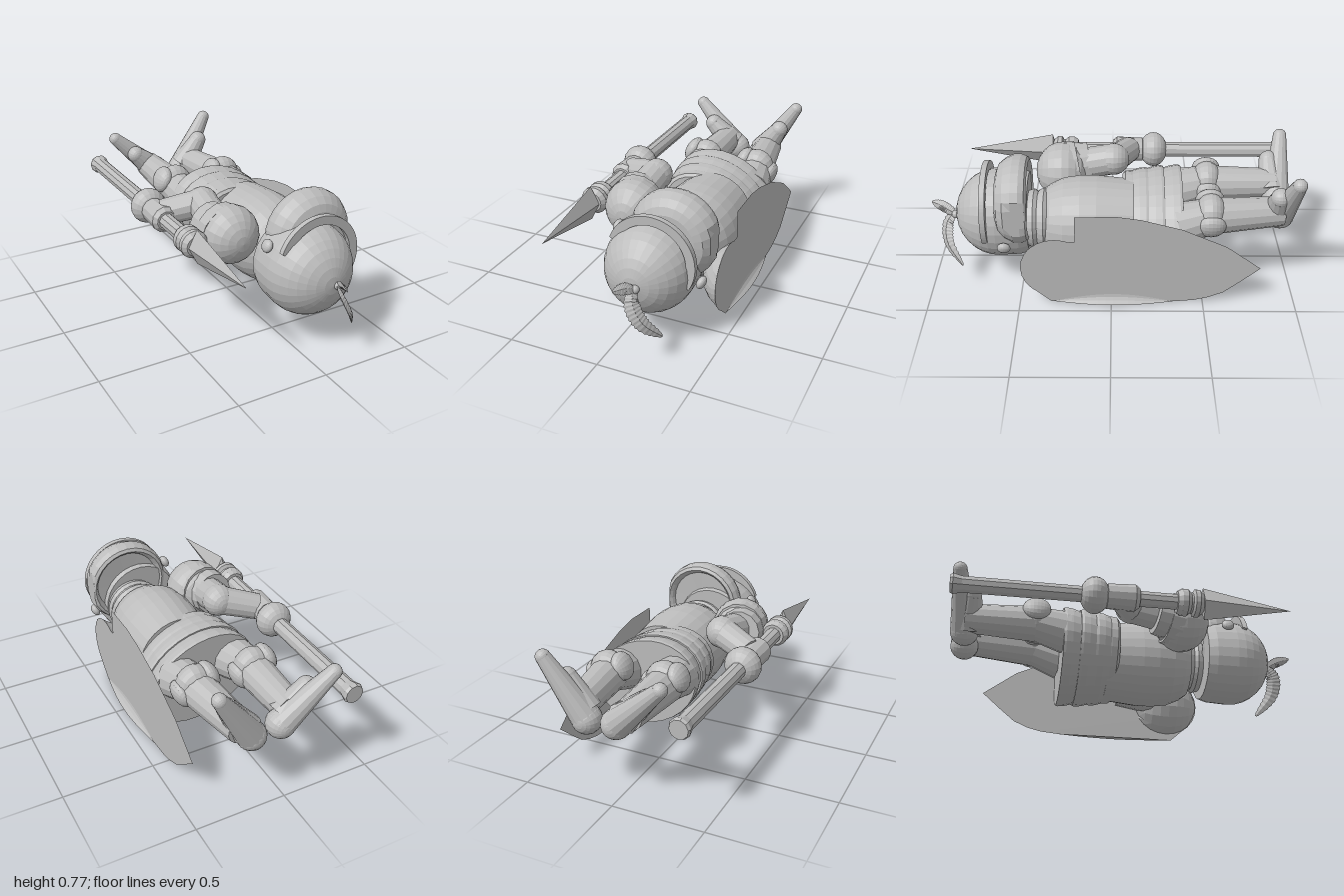
import * as THREE from 'three';

const V = (x, y, z) => new THREE.Vector3(x, y, z);
const TILT = -0.44;   // the figure lies on its back, rolled towards its left
const CUT = 0.415;    // flat plane that everything on the left side ends at

export function createModel() {
  const model = new THREE.Group();
  const grey = new THREE.MeshStandardMaterial({ color: 0xbcbcbc });
  grey.name = 'plain grey';
  grey.flatShading = true;
  grey.side = THREE.DoubleSide;

  // Add a mesh, flattening whatever passes the cut plane
  function add(name, geo, clip = true) {
    if (clip) {
      const p = geo.attributes.position;
      for (let i = 0; i < p.count; i++) if (p.getX(i) > CUT) p.setX(i, CUT);
    }
    geo.computeVertexNormals();
    const mesh = new THREE.Mesh(geo, grey);
    mesh.name = name;
    model.add(mesh);
  }
  // Turned part along z: profile of [radius, z], rolled, with an oval section
  function turned(name, cx, cy, profile, sx = 1, sy = 1, seg = 28) {
    const geo = new THREE.LatheGeometry(profile.map(([r, z]) => new THREE.Vector2(r, z)), seg);
    geo.rotateX(Math.PI / 2).scale(sx, sy, 1).rotateZ(TILT).translate(cx, cy, 0);
    add(name, geo);
  }
  function ball(name, p, r, s = [1, 1, 1]) {
    const geo = new THREE.SphereGeometry(r, 18, 12);
    geo.rotateX(Math.PI / 2).scale(...s).rotateZ(TILT).translate(p.x, p.y, p.z);
    add(name, geo);
  }
  function limb(name, a, b, ra, rb, seg = 14) {
    const d = b.clone().sub(a);
    const geo = new THREE.CylinderGeometry(rb, ra, d.length(), seg);
    geo.applyQuaternion(new THREE.Quaternion().setFromUnitVectors(V(0, 1, 0), d.normalize()));
    const m = a.clone().add(b).multiplyScalar(0.5);
    geo.translate(m.x, m.y, m.z);
    add(name, geo);
  }

  // Torso, neck collar and layered skirt
  turned('torso', 0.16, 0.37, [[0, -0.12], [0.225, -0.12], [0.235, -0.02], [0.245, 0.08],
    [0.245, 0.17], [0.232, 0.26], [0.2, 0.33], [0.17, 0.37], [0, 0.37]]);
  turned('collar', 0.185, 0.395, [[0, 0.34], [0.15, 0.34], [0.168, 0.365], [0.155, 0.395],
    [0.148, 0.4], [0.162, 0.42], [0.15, 0.46], [0, 0.46]]);
  [[-0.38, -0.265, 1], [-0.285, -0.175, 0.985], [-0.2, -0.1, 0.945], [-0.125, -0.06, 0.89]]
    .forEach(([z0, z1, s], i) => turned('skirtBand' + (i + 1), 0.14, 0.37,
      [[0, z0], [0.985 * s, z0], [s, z0 + 0.015], [0.985 * s, z0 + 0.05], [0.92 * s, z1], [0, z1]], 0.317, 0.238));

  // Helmet: short barrel with a rounded dome
  const dome = [[0, 0.45], [0.215, 0.45], [0.23, 0.5], [0.237, 0.62]];
  for (let i = 1; i <= 8; i++) {
    const a = (i / 8) * Math.PI / 2;
    dome.push([0.237 * Math.cos(a) + 1e-5, 0.62 + 0.237 * Math.sin(a)]);
  }
  turned('helmet', 0.122, 0.397, dome, 1.015, 1.05);

  // Raised visor with a rounded rim, shallow towards the body
  turned('visor', 0.2, 0.533, [[0, 0.615], [0.15, 0.615], [0.19, 0.6], [0.22, 0.565], [0.24, 0.52],
    [0.24, 0.48], [0.228, 0.45], [0.21, 0.44], [0.195, 0.455], [0.185, 0.475], [0, 0.48]]);

  // Brow plate: half ring around the front of the helmet
  const arc = new THREE.Shape();
  arc.absarc(0, 0, 0.238, -0.1, Math.PI + 0.1, false);
  arc.absarc(0, 0, 0.19, Math.PI + 0.1, -0.1, true);
  const brow = new THREE.ExtrudeGeometry(arc, { depth: 0.03, bevelEnabled: false, curveSegments: 20 });
  brow.rotateZ(TILT).translate(0.15, 0.465, 0.662);
  add('browPlate', brow);

  // Visor hinges
  ball('visorHingeRight', V(-0.088, 0.548, 0.57), 0.036, [0.65, 1, 1]);
  ball('visorHingeLeft', V(0.375, 0.328, 0.575), 0.036, [0.65, 1, 1]);

  // Plume feathers: thin rhombic sections with toothed edges
  function feather(name, pts, side, width) {
    const curve = new THREE.CatmullRomCurve3(pts), n = 32, pos = [], idx = [];
    for (let i = 0; i <= n; i++) {
      const t = i / n, p = curve.getPoint(t), tan = curve.getTangent(t);
      const across = side.clone().addScaledVector(tan, -side.dot(tan)).normalize();
      const up = tan.clone().cross(across);
      const w = width * Math.pow(Math.sin(Math.PI * (0.06 + 0.93 * t)), 0.6) * (i % 2 ? 1 : 0.85);
      [[across, w], [up, w * 0.3], [across, -w], [up, -w * 0.3]]
        .forEach(([d, k]) => pos.push(...p.clone().addScaledVector(d, k).toArray()));
      if (i < n) for (let j = 0; j < 4; j++) {
        const a = i * 4 + j, b = i * 4 + (j + 1) % 4;
        idx.push(a, b, a + 4, b, b + 4, a + 4);
      }
    }
    const geo = new THREE.BufferGeometry();
    geo.setAttribute('position', new THREE.Float32BufferAttribute(pos, 3));
    geo.setIndex(idx);
    add(name, geo);
  }
  feather('plumeLong', [V(0.14, 0.4, 0.865), V(0.152, 0.34, 0.905), V(0.2, 0.245, 0.905), V(0.275, 0.135, 0.825)],
    V(-0.39, -0.38, 0.77), 0.045);
  feather('plumeShort', [V(0.15, 0.395, 0.86), V(0.128, 0.43, 0.925), V(0.1, 0.445, 0.995)], V(-0.4, 0.9, -0.5), 0.032);
  ball('plumeSocket', V(0.15, 0.395, 0.86), 0.022);

  // Right arm: shoulder guard, bands, elbow and forearm reaching the lance grip
  const shoulder = V(-0.142, 0.505, 0.28), elbow = V(-0.148, 0.575, -0.01), hand = V(-0.35, 0.525, -0.1);
  ball('shoulderRight', shoulder, 0.163, [1, 1, 0.93]);
  limb('shoulderBandRight1', V(-0.155, 0.51, 0.26), V(-0.165, 0.52, 0.19), 0.155, 0.145);
  limb('shoulderBandRight2', V(-0.18, 0.52, 0.2), V(-0.19, 0.53, 0.125), 0.128, 0.118);
  limb('upperArmRight', V(-0.17, 0.515, 0.25), V(-0.152, 0.573, 0), 0.092, 0.088);
  ball('elbowRight', elbow, 0.09);
  limb('forearmRight', elbow, hand, 0.082, 0.074);

  // Left shoulder guard and arm, ending at the flat plane
  ball('shoulderLeft', V(0.475, 0.222, 0.3), 0.19);
  limb('upperArmLeft', V(0.37, 0.23, 0.28), V(0.37, 0.27, 0.0), 0.09, 0.08);

  // Lance: shaft, butt, grip guard, collars and blade
  const LX = -0.37, LY = 0.515;
  const lance = (name, profile, seg = 16) => turned(name, LX, LY, profile, 1, 1, seg);
  lance('lanceShaft', [[0, -0.97], [0.046, -0.97], [0.044, 0.24], [0, 0.24]], 10);
  lance('lanceButt', [[0, -1], [0.05, -1], [0.057, -0.985], [0.046, -0.94], [0, -0.94]], 10);
  lance('lanceGrip', [[0, -0.2], [0.068, -0.18], [0.075, -0.03], [0.055, -0.005], [0, 0]], 12);
  ball('lanceGuard', V(LX, LY, -0.245), 0.101, [1, 1, 0.8]);
  lance('lanceCollar', [[0, 0.2], [0.06, 0.2], [0.075, 0.225], [0.075, 0.255], [0.058, 0.275], [0.058, 0.285],
    [0.076, 0.295], [0.076, 0.32], [0.055, 0.345], [0, 0.345]]);
  const blade = new THREE.LatheGeometry([[0.3, 0.33], [1, 0.35], [0.001, 0.845]].map(([r, z]) => new THREE.Vector2(r, z)), 4);
  blade.rotateX(Math.PI / 2).scale(0.048, 0.097, 1).translate(LX, LY, 0);
  add('lanceBlade', blade);

  // Legs with knee guards and pointed shoes turned outwards
  const legs = [
    ['Right', V(-0.045, 0.44, -0.36), V(-0.065, 0.49, -0.535), V(-0.06, 0.475, -0.92), V(0.0, 0.42, -0.922), V(-0.26, 0.67, -0.962)],
    ['Left', V(0.28, 0.42, -0.36), V(0.265, 0.485, -0.53), V(0.215, 0.465, -0.92), V(0.165, 0.41, -0.922), V(0.365, 0.718, -0.962)],
  ];
  const kneeAxis = V(Math.cos(TILT), Math.sin(TILT), 0);
  for (const [s, hip, knee, ankle, heel, toe] of legs) {
    limb('thigh' + s, hip, knee.clone().setY(knee.y - 0.02), 0.12, 0.097);
    ball('knee' + s, knee, 0.105, [1, 1.05, 0.8]);
    for (const k of [-1, 1])
      ball('kneeBoss' + s, knee.clone().addScaledVector(kneeAxis, 0.085 * k), 0.078, [0.6, 1, 1]);
    limb('shin' + s, knee.clone().setY(knee.y - 0.02), ankle, 0.1, 0.08);
    // instep guard lying along the shoe
    const instep = heel.clone().lerp(toe, 0.6).setZ(-0.89);
    limb('instep' + s, heel.clone().lerp(toe, 0.1).setZ(-0.9), instep, 0.085, 0.052);
    ball('instepEnd' + s, instep, 0.052);
    ball('heel' + s, heel, 0.078);
    limb('shoe' + s, heel, toe, 0.078, 0.038);
    ball('toe' + s, toe, 0.038);
  }

  // Shield: flat plate, outline as [z, y]
  const outline = [[0.193, 0.555], [-0.02, 0.56], [-0.155, 0.54], [-0.37, 0.48], [-0.61, 0.37], [-0.8, 0.228],
    [-0.7, 0.14], [-0.61, 0.065], [-0.53, 0.03], [-0.45, 0.01], [-0.34, 0], [0.33, 0], [0.42, 0.08], [0.47, 0.18],
    [0.477, 0.25], [0.445, 0.35], [0.354, 0.39], [0.193, 0.4]];
  const shield = new THREE.ShapeGeometry(new THREE.Shape(outline.map(([z, y]) => new THREE.Vector2(-z, y))));
  shield.rotateY(Math.PI / 2).translate(CUT + 0.001, 0, 0);
  add('shield', shield, false);

  // Slight flare along the shield's lower rim
  const rim = new THREE.PlaneGeometry(1, 1, 16, 3), rp = rim.attributes.position;
  for (let i = 0; i < rp.count; i++) {
    const t = rp.getX(i) + 0.5, h = rp.getY(i) + 0.5, bow = Math.sin(Math.PI * t);
    rp.setXYZ(i, CUT + 0.002 + 0.035 * bow * (1 - h) ** 2, 0.05 * h * bow, 0.32 - 0.66 * t);
  }
  add('shieldRim', rim, false);

  return model;
}
